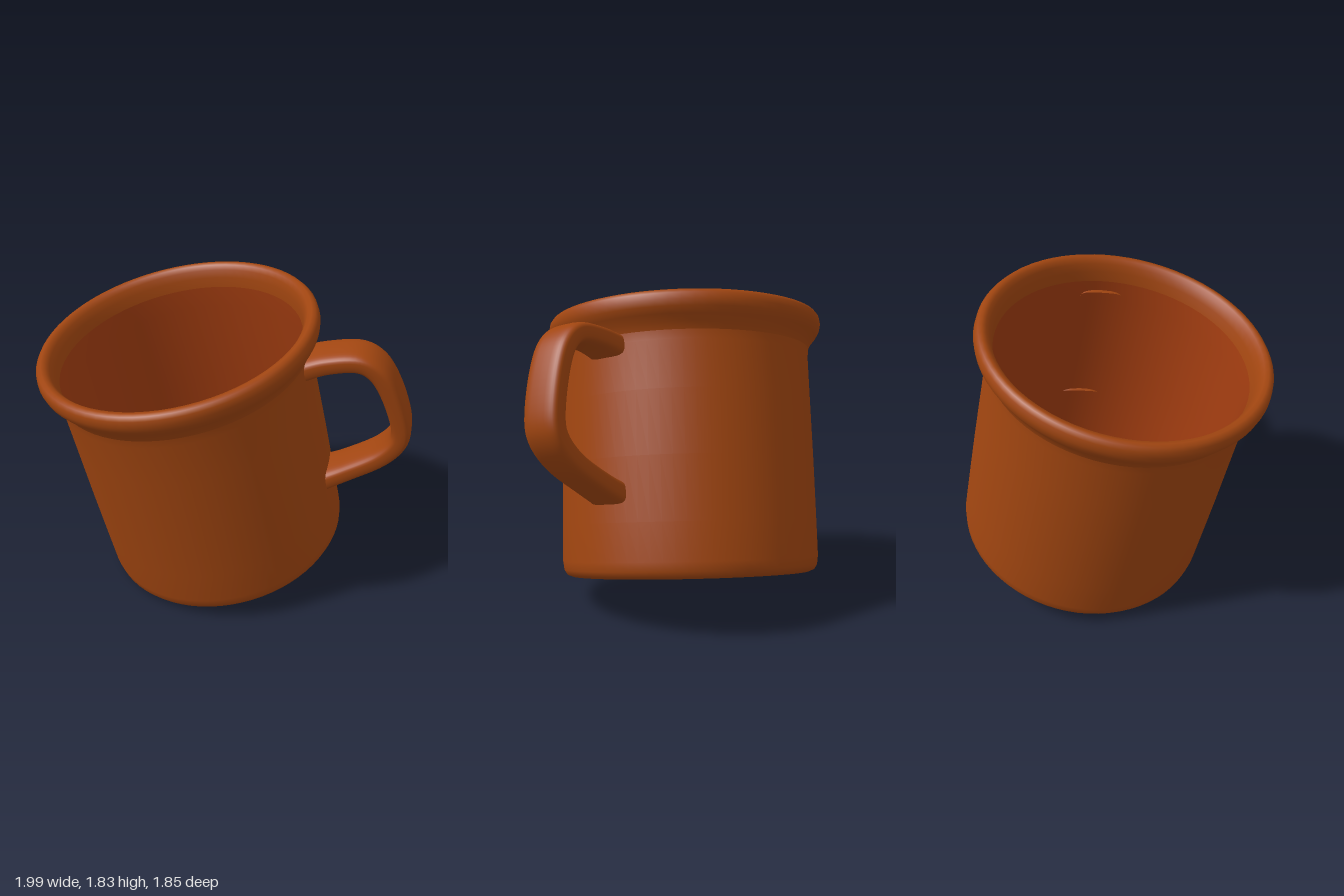
import * as THREE from 'three';
import { ParametricGeometry } from 'three/addons/geometries/ParametricGeometry.js';

const clay = new THREE.MeshStandardMaterial({ color: 0xa04510 });
const innerClay = new THREE.MeshStandardMaterial({ color: 0xa03c10 });
const baseClay = new THREE.MeshStandardMaterial({ color: 0x8a330f });

function turned(name, profile, material) {
  const points = profile.map(([r, y]) => new THREE.Vector2(r, y));
  const mesh = new THREE.Mesh(new THREE.LatheGeometry(points, 72), material);
  mesh.name = name;
  return mesh;
}

// Strap handle: a rounded rectangle swept along a curve in the mug's own xy plane
function makeHandle() {
  const path = new THREE.CatmullRomCurve3([
    [0.7, 1.25], [0.85, 1.28], [1.03, 1.275], [1.11, 1.21], [1.17, 1.06],
    [1.205, 0.8], [1.18, 0.72], [1.08, 0.62], [0.86, 0.51], [0.71, 0.45],
  ].map(([x, y]) => new THREE.Vector3(x, y, 0)), false, 'centripetal');
  const round = (s) => Math.sign(s) * Math.abs(s) ** 0.55;
  const geometry = new ParametricGeometry((u, v, target) => {
    const t = THREE.MathUtils.clamp(u, 0, 1);
    const p = path.getPoint(t);
    const d = path.getTangent(t);
    const a = v * Math.PI * 2;
    const flare = 1 + 0.15 * Math.abs(2 * t - 1) ** 6;
    const n = 0.056 * flare * round(Math.cos(a));
    target.set(p.x - d.y * n, p.y + d.x * n, -0.115 * flare * round(Math.sin(a)));
  }, 64, 32);
  const mesh = new THREE.Mesh(geometry, clay);
  mesh.name = 'handle';
  return mesh;
}

export function createModel() {
  const model = new THREE.Group();
  model.name = 'mug';

  // The whole mug leans: up is its axis, out points to the handle
  const up = new THREE.Vector3(-0.069, 0.971, 0.228).normalize();
  const out = new THREE.Vector3(0.858, 0.174, -0.483);
  out.addScaledVector(up, -out.dot(up)).normalize();
  const side = new THREE.Vector3().crossVectors(out, up);
  const tilted = new THREE.Group();
  tilted.name = 'tiltedMug';
  tilted.quaternion.setFromRotationMatrix(new THREE.Matrix4().makeBasis(out, up, side));
  tilted.position.set(-0.075, 0.167, -0.21);

  tilted.add(
    // Recessed underside
    turned('base', [[0, 0.035], [0.3, 0.035], [0.63, 0.035], [0.645, 0.03], [0.66, 0.005]], baseClay),
    // Foot ring and outer wall
    turned('outerWall', [
      [0.66, 0.005], [0.675, 0], [0.7, 0], [0.73, 0.012], [0.747, 0.04], [0.754, 0.09],
      [0.753, 0.3], [0.75, 0.65], [0.744, 1.0], [0.74, 1.26], [0.744, 1.31],
    ], clay),
    // Flared rim
    turned('rim', [
      [0.744, 1.31], [0.76, 1.35], [0.79, 1.385], [0.812, 1.42], [0.82, 1.455], [0.815, 1.49],
      [0.8, 1.51], [0.78, 1.517], [0.757, 1.51], [0.738, 1.485], [0.722, 1.44], [0.712, 1.38],
    ], clay),
    // Inside wall and floor
    turned('innerWall', [[0.712, 1.38], [0.706, 1.25], [0.704, 0.7], [0.703, 0.15], [0.695, 0.09]], innerClay),
    turned('floor', [[0.695, 0.09], [0.67, 0.075], [0.35, 0.07], [0, 0.07]], innerClay),
    makeHandle(),
  );
  model.add(tilted);
  return model;
}
